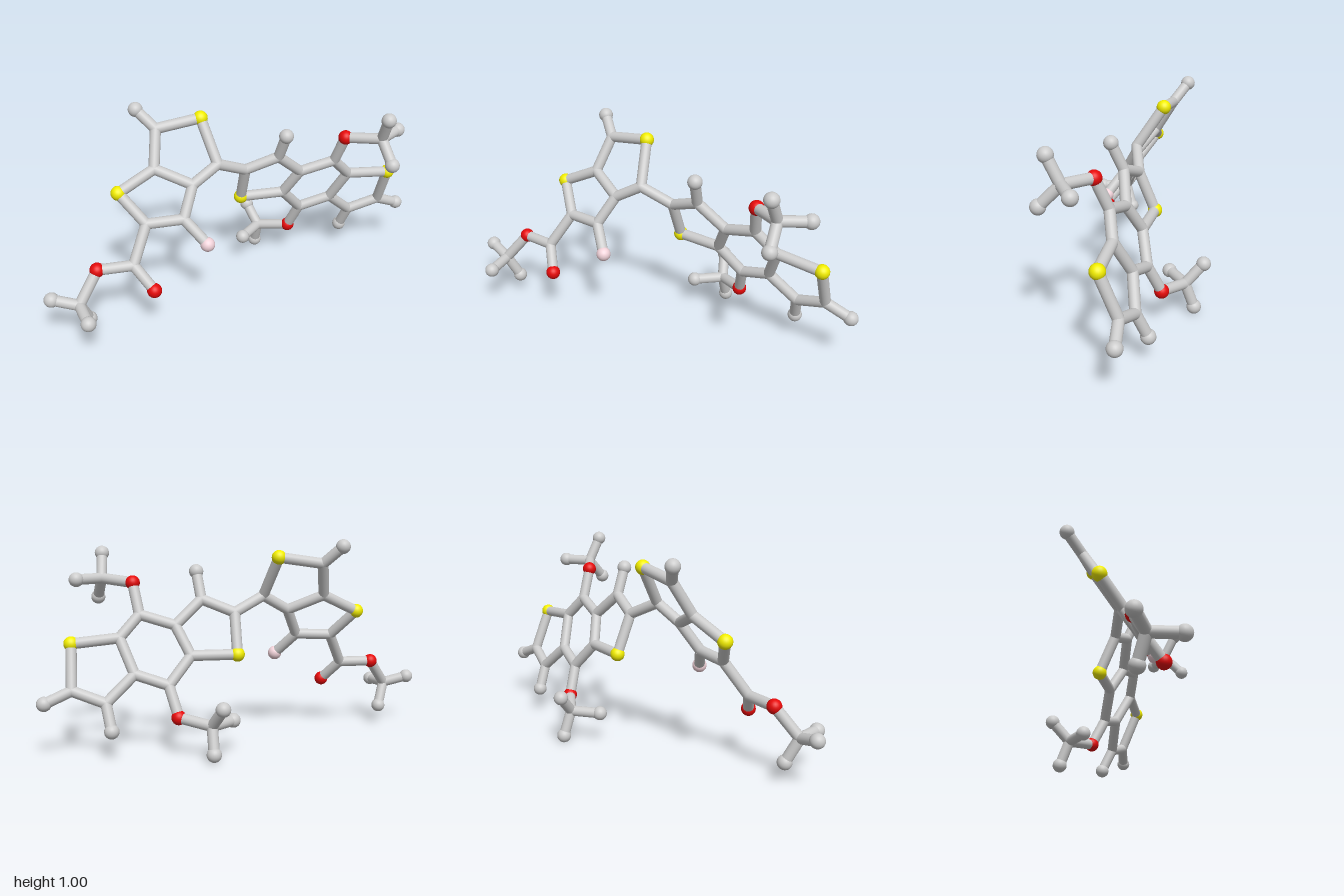
import * as THREE from 'three';

const BOND_RADIUS = 0.026;
const BALL_RADIUS = 0.035;

const material = (color) => new THREE.MeshStandardMaterial({ color });
const grey = material(0xcccccc);
const yellow = material(0xf2ee00);
const red = material(0xe60a0a);
const pink = material(0xf2d3da);

// The two fused-ring systems are flat: z follows from x and y.
const leftPlane = (x, y) => [x, y, 0.4905 + 0.281 * x - 0.636 * y];
const rightPlane = (x, y) => [x, y, -0.3096 + 0.2106 * x + 0.423 * y];

const atoms = {
  // left double ring
  a1: leftPlane(-0.133, 0.916), a2: leftPlane(-0.345, 0.885), a3: leftPlane(-0.393, 0.725),
  a4: leftPlane(-0.575, 0.64), a5: leftPlane(-0.484, 0.51), a6: leftPlane(-0.313, 0.516),
  a7: leftPlane(-0.238, 0.65), a8: leftPlane(-0.104, 0.725),
  aTip: leftPlane(-0.414, 0.967), aPink: leftPlane(-0.233, 0.407),
  // left side chain
  e1: [-0.58, 0.35, 0.102], e2: [-0.516, 0.247, 0.193], e3: [-0.744, 0.35, 0.067],
  e4: [-0.853, 0.217, 0.115], e5: [-0.967, 0.252, 0.068], e6: [-0.805, 0.1, 0.078],
  e7: [-0.851, 0.212, 0.258],
  // right triple ring
  b1: rightPlane(0.053, 0.65), b2: rightPlane(0.203, 0.714), b3: rightPlane(0.34, 0.596),
  b4: rightPlane(0.5, 0.647), b5: rightPlane(0.602, 0.543), b6: rightPlane(0.55, 0.38),
  b7: rightPlane(0.4, 0.327), b8: rightPlane(0.283, 0.457), b9: rightPlane(0.066, 0.458),
  b10: rightPlane(0.822, 0.521), b11: rightPlane(0.837, 0.315), b12: rightPlane(0.69, 0.257),
  bTop: rightPlane(0.211, 0.845), bLow: rightPlane(0.676, 0.136), bEnd: rightPlane(0.962, 0.262),
  // upper branch
  u1: [0.517, 0.795, 0.13], u2: [0.645, 0.812, 0.248], u3: [0.63, 0.932, 0.308],
  u4: [0.648, 0.713, 0.345], u5: [0.775, 0.811, 0.19],
  // lower branch
  l1: [0.371, 0.186, -0.152], l2: [0.243, 0.16, -0.258], l3: [0.217, 0.254, -0.343],
  l4: [0.248, 0.038, -0.303], l5: [0.115, 0.158, -0.18],
};

// Each chain joins consecutive atoms with rods.
const sections = {
  leftRings: ['a8 a1 a2 a3 a7 a8', 'a3 a4 a5 a6 a7', 'a2 aTip', 'a6 aPink'],
  leftSideChain: ['a5 e1 e3 e4 e5', 'e1 e2', 'e6 e4 e7'],
  link: ['a8 b1'],
  rightRings: ['b1 b2 b3 b4 b5 b6 b7 b8 b9 b1', 'b3 b8', 'b5 b10 b11 b12 b6',
    'b2 bTop', 'b12 bLow', 'b11 bEnd'],
  upperBranch: ['b4 u1 u2 u3', 'u4 u2 u5'],
  lowerBranch: ['b7 l1 l2 l3', 'l4 l2 l5'],
};

const coloured = {
  a1: yellow, a4: yellow, b9: yellow, b10: yellow,
  e2: red, e3: red, u1: red, l1: red, aPink: pink,
};
const greyEnds = ['aTip', 'e5', 'e6', 'e7', 'bTop', 'bLow', 'bEnd', 'u3', 'u4', 'u5', 'l3', 'l4', 'l5'];

const UP = new THREE.Vector3(0, 1, 0);

function makeRod(from, to) {
  const a = new THREE.Vector3(...from);
  const axis = new THREE.Vector3(...to).sub(a);
  const length = axis.length();
  const rod = new THREE.Mesh(
    new THREE.CylinderGeometry(BOND_RADIUS, BOND_RADIUS, length, 20), grey);
  rod.position.copy(a).addScaledVector(axis, 0.5);
  rod.quaternion.setFromUnitVectors(UP, axis.normalize());
  rod.name = 'rod';
  return rod;
}

function makeBall(name, position, radius, mat) {
  const ball = new THREE.Mesh(new THREE.SphereGeometry(radius, 24, 16), mat);
  ball.position.set(...position);
  ball.name = name;
  return ball;
}

export function createModel() {
  const model = new THREE.Group();
  model.name = 'molecule';

  // rods
  for (const [name, chains] of Object.entries(sections)) {
    const group = new THREE.Group();
    group.name = name;
    for (const chain of chains) {
      const ids = chain.split(' ');
      for (let i = 1; i < ids.length; i++) group.add(makeRod(atoms[ids[i - 1]], atoms[ids[i]]));
    }
    model.add(group);
  }

  // coloured balls, grey end balls, and rounded joints flush with the rods
  const balls = new THREE.Group();
  balls.name = 'balls';
  for (const [id, position] of Object.entries(atoms)) {
    if (coloured[id]) balls.add(makeBall('colouredBall', position, BALL_RADIUS, coloured[id]));
    else if (greyEnds.includes(id)) balls.add(makeBall('endBall', position, BALL_RADIUS, grey));
    else balls.add(makeBall('joint', position, BOND_RADIUS, grey));
  }
  model.add(balls);
  return model;
}
